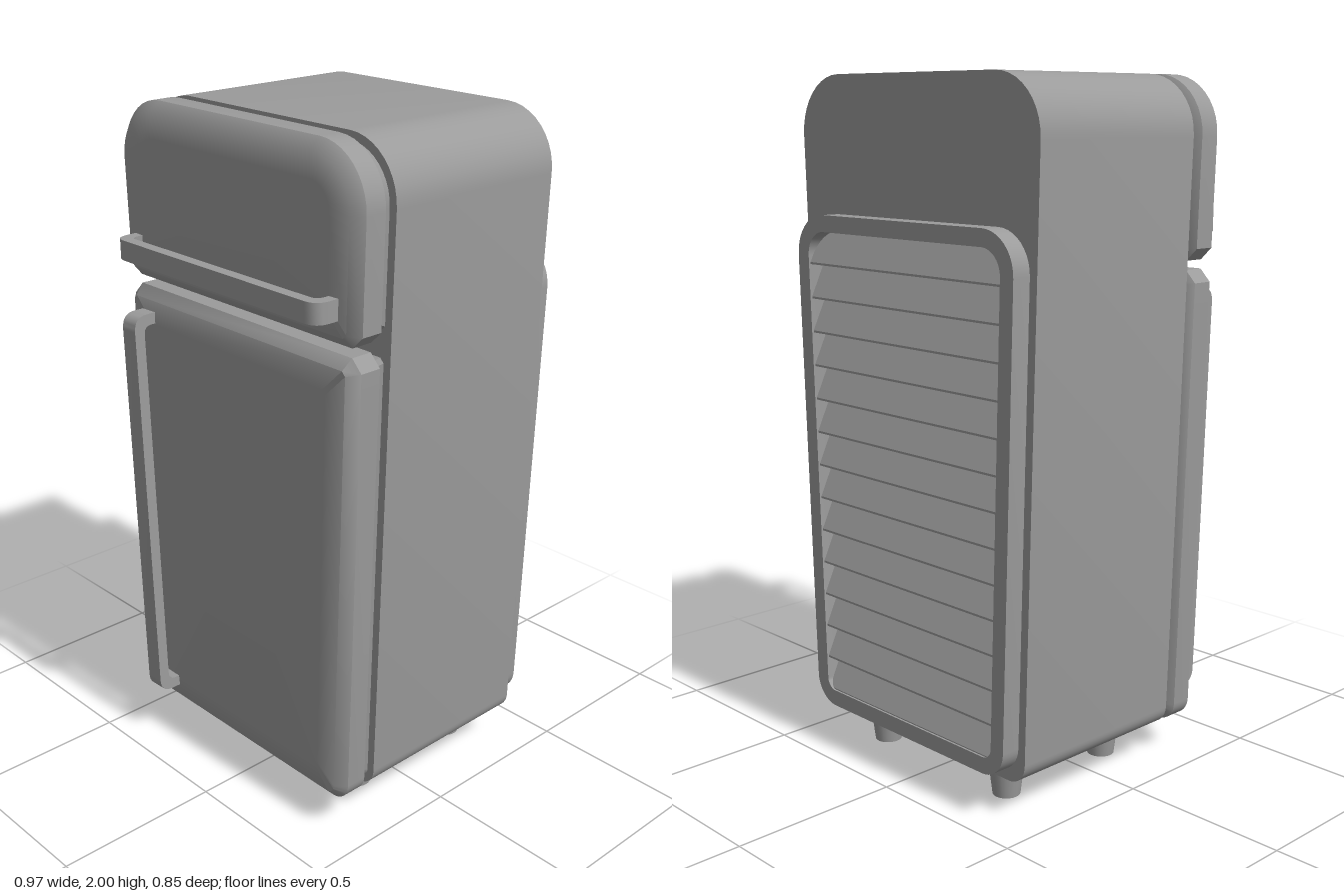
import * as THREE from 'three';
import { toCreasedNormals } from 'three/addons/utils/BufferGeometryUtils.js';

const material = new THREE.MeshStandardMaterial({ color: 0x9b9b9b });

// Half-width of the cabinet, which narrows towards the floor
const cabinetHalf = (y) => 0.431 + 0.0307 * (y - 0.1);
const frameHalf = (y) => 0.406 + 0.0307 * (y - 0.13);

// Counter-clockwise tapered outline shrunk by inset; large corners are round, small ones chamfered
function outline({ y0, y1, rBottom, rTop, half }, inset) {
  const b = y0 + inset, t = y1 - inset;
  const wb = half(b) - inset, wt = half(t) - inset;
  const corners = [[-wb, b, rBottom], [wb, b, rBottom], [wt, t, rTop], [-wt, t, rTop]];
  const pts = corners.map(([x, y]) => new THREE.Vector2(x, y));
  const result = [];
  corners.forEach(([, , radius], i) => {
    const p = pts[i];
    const r = Math.max(radius - inset, 0.012);
    const toPrev = pts[(i + 3) % 4].clone().sub(p).normalize();
    const toNext = pts[(i + 1) % 4].clone().sub(p).normalize();
    const at = (dir, k) => p.clone().addScaledVector(dir, r * k);
    result.push(...new THREE.CubicBezierCurve(
      at(toPrev, 1), at(toPrev, 0.45), at(toNext, 0.45), at(toNext, 1)).getPoints(radius < 0.05 ? 1 : 10));
  });
  return result;
}

// Skin over a series of [inset, z] layers of one outline, closed by fans
function loft(form, layers, crease = 0.5) {
  const position = [], index = [];
  let n = 0;
  for (const [inset, z] of layers) {
    const ring = outline(form, inset);
    n = ring.length;
    ring.forEach((p) => position.push(p.x, p.y, z));
  }
  const last = layers.length - 1, mid = (form.y0 + form.y1) / 2;
  const c0 = layers.length * n, c1 = c0 + 1;
  position.push(0, mid, layers[0][1], 0, mid, layers[last][1]);
  for (let j = 0; j < n; j++) {
    const k = (j + 1) % n;
    for (let i = 0; i < last; i++) {
      const a = i * n + j, b = i * n + k;
      index.push(a, b, b + n, a, b + n, a + n);
    }
    index.push(c0, k, j, c1, last * n + j, last * n + k);
  }
  const g = new THREE.BufferGeometry();
  g.setAttribute('position', new THREE.Float32BufferAttribute(position, 3));
  g.setIndex(index);
  return toCreasedNormals(g, crease);
}

// Flat bar bent into a bracket: runs along x, ends at z = 0, stands out in +z
function handleGeometry(length, reach, thick, width) {
  const h = length / 2, r = 0.045, q = r - thick * 0.6;
  const s = new THREE.Shape();
  s.moveTo(-h, 0);
  s.lineTo(-h, reach - r);
  s.quadraticCurveTo(-h, reach, -h + r, reach);
  s.lineTo(h - r, reach);
  s.quadraticCurveTo(h, reach, h, reach - r);
  s.lineTo(h, 0);
  s.lineTo(h - thick, 0);
  s.lineTo(h - thick, reach - thick - q);
  s.quadraticCurveTo(h - thick, reach - thick, h - thick - q, reach - thick);
  s.lineTo(-h + thick + q, reach - thick);
  s.quadraticCurveTo(-h + thick, reach - thick, -h + thick, reach - thick - q);
  s.lineTo(-h + thick, 0);
  const g = new THREE.ExtrudeGeometry(s, { depth: width, bevelEnabled: false, curveSegments: 8 });
  g.translate(0, 0, -width / 2);
  g.rotateX(Math.PI / 2);
  return toCreasedNormals(g, 0.6);
}

export function createModel() {
  const group = new THREE.Group();
  const add = (name, geometry, parent = group) => {
    const mesh = new THREE.Mesh(geometry, material);
    mesh.name = name;
    parent.add(mesh);
    return mesh;
  };

  // Cabinet
  const cabinet = { y0: 0.105, y1: 2, rBottom: 0.06, rTop: 0.17, half: cabinetHalf };
  add('cabinet', loft(cabinet, [[0, -0.37], [0, 0.22]]));

  // Doors with bevelled edges that blend softly into the front, each on a recessed seal
  const doors = {
    freezerDoor: { y0: 1.488, y1: 2, rBottom: 0.035, rTop: 0.17, half: cabinetHalf },
    mainDoor: { y0: 0.103, y1: 1.462, rBottom: 0.06, rTop: 0.035, half: cabinetHalf },
  };
  for (const [name, form] of Object.entries(doors)) {
    add(name, loft(form,
      [[0.03, 0.238], [0, 0.257], [0, 0.322], [0.03, 0.35], [0.1, 0.353]], 0.72));
    add(name + 'Seal', loft(form, [[0.022, 0.215], [0.035, 0.245]]));
  }

  // Handles
  const freezerHandle = add('freezerHandle', handleGeometry(0.835, 0.085, 0.033, 0.058));
  freezerHandle.position.set(0, 1.59, 0.34);
  const mainHandle = add('mainHandle', handleGeometry(1.23, 0.085, 0.033, 0.058));
  mainHandle.position.set(-0.355, 0.785, 0.34);
  mainHandle.rotation.z = Math.PI / 2 + 0.0307;

  // Rear grille: raised frame around a sunken panel, filled with sloping slats
  const grille = new THREE.Group();
  grille.name = 'rearGrille';
  grille.rotation.y = Math.PI;
  group.add(grille);
  const frame = { y0: 0.13, y1: 1.61, rBottom: 0.08, rTop: 0.12, half: frameHalf };
  add('grilleFrame', loft(frame,
    [[0, 0.36], [0, 0.428], [0.048, 0.428], [0.048, 0.378]]), grille);
  const count = 14, bottom = 0.175, pitch = (1.565 - bottom) / count;
  for (let i = 0; i < count; i++) {
    const y = bottom + i * pitch;
    const w = 2 * (frameHalf(y) - 0.036);
    const profile = new THREE.Shape([
      new THREE.Vector2(-0.375, y), new THREE.Vector2(-0.375, y + pitch),
      new THREE.Vector2(-0.422, y + 0.006), new THREE.Vector2(-0.422, y),
    ]);
    const slat = new THREE.ExtrudeGeometry(profile, { depth: w, bevelEnabled: false });
    slat.translate(0, 0, -w / 2);
    slat.rotateY(Math.PI / 2);
    add('grilleSlat', slat, grille);
  }

  // Tapered feet
  for (const x of [-0.263, 0.263]) {
    for (const z of [0.12, -0.275]) {
      add('foot', new THREE.CylinderGeometry(0.055, 0.04, 0.12, 24)).position.set(x, 0.06, z);
    }
  }
  return group;
}
